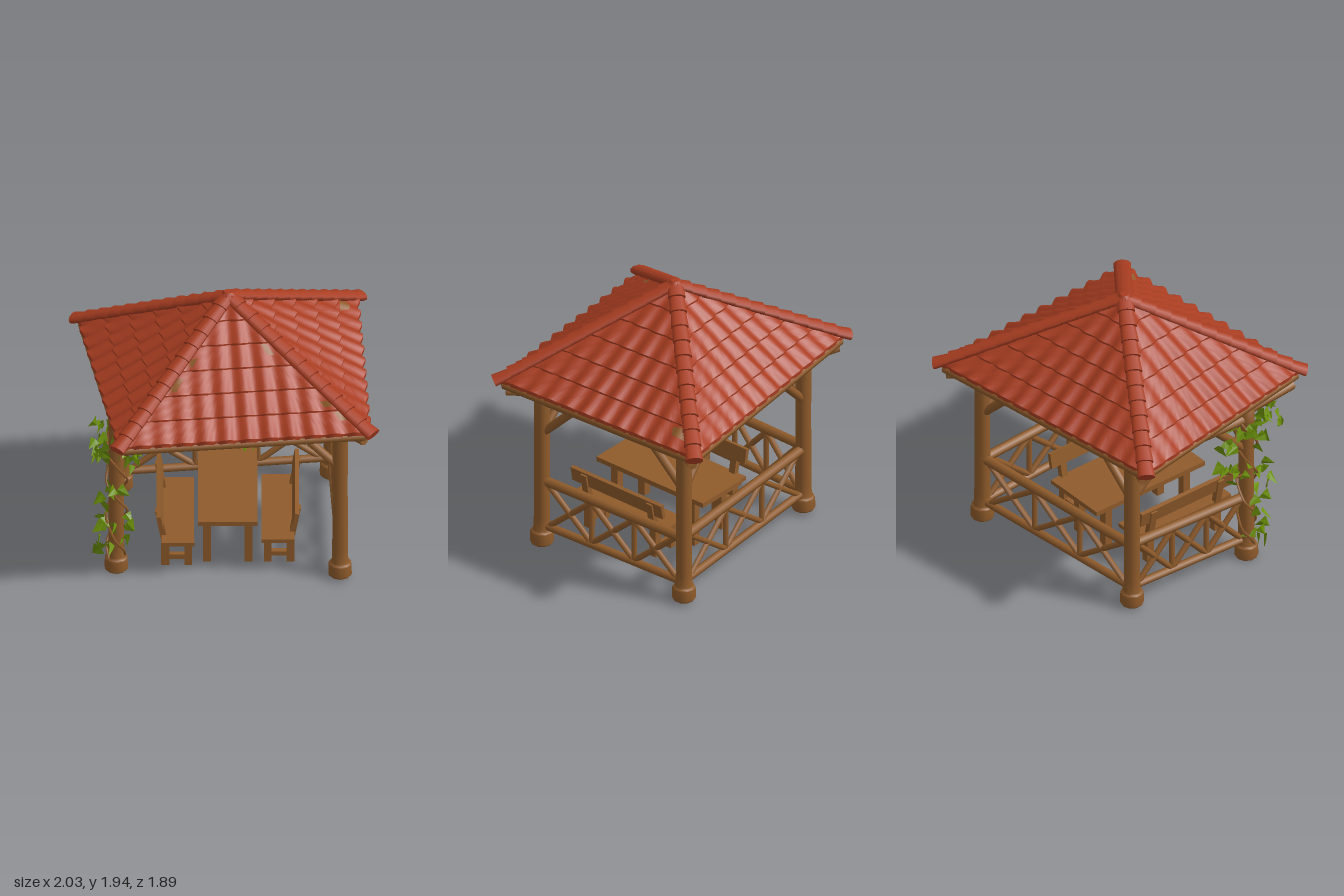
import * as THREE from 'three';

const wood = new THREE.MeshStandardMaterial({ color: 0x8f5b2b });
const tile = new THREE.MeshStandardMaterial({ color: 0xa83d21, side: THREE.DoubleSide });
const leafGreen = new THREE.MeshStandardMaterial({ color: 0x6c900a, side: THREE.DoubleSide });
wood.name = 'wood';
tile.name = 'roofTile';
leafGreen.name = 'leafGreen';

const V = (x, y, z) => new THREE.Vector3(x, y, z);
let seed = 7;
const rand = () => (seed = (seed * 16807) % 2147483647) / 2147483647;
const spread = (a) => (rand() * 2 - 1) * a;

function add(parent, name, geo, mat) {
  const m = new THREE.Mesh(geo, mat);
  m.name = name;
  parent.add(m);
  return m;
}

// Round log from a to b
function log(parent, name, a, b, r, sides = 8) {
  const d = b.clone().sub(a);
  const m = add(parent, name, new THREE.CylinderGeometry(r, r, d.length(), sides), wood);
  m.position.copy(a).addScaledVector(d, 0.5);
  m.quaternion.setFromUnitVectors(V(0, 1, 0), d.normalize());
}

// Flattened, tapered ridge tile from a up to b
function ridgeCap(parent, a, b) {
  const d = b.clone().sub(a);
  const m = add(parent, 'ridgeCap', new THREE.CylinderGeometry(0.052, 0.062, d.length(), 10), tile);
  m.position.copy(a).addScaledVector(d, 0.5);
  d.normalize();
  const side = d.clone().cross(V(0, 1, 0)).normalize();
  m.quaternion.setFromRotationMatrix(new THREE.Matrix4().makeBasis(side, d, side.clone().cross(d)));
  m.scale.z = 0.55;
}

function box(parent, name, w, h, d, x, y, z, tilt = 0) {
  const m = add(parent, name, new THREE.BoxGeometry(w, h, d), wood);
  m.position.set(x, y, z);
  m.rotation.z = tilt;
}

// Sheet from a rule f(u, v), u to the right and v upward seen from its front
function sheet(nu, nv, f) {
  const pos = [], idx = [];
  for (let j = 0; j <= nv; j++)
    for (let i = 0; i <= nu; i++) pos.push(...f(i / nu, j / nv).toArray());
  for (let j = 0; j < nv; j++)
    for (let i = 0; i < nu; i++) {
      const a = j * (nu + 1) + i, b = a + nu + 1;
      idx.push(a, a + 1, b + 1, a, b + 1, b);
    }
  const g = new THREE.BufferGeometry();
  g.setAttribute('position', new THREE.Float32BufferAttribute(pos, 3));
  g.setIndex(idx);
  g.computeVertexNormals();
  return g;
}

// Roof corners and posts: front-left, front-right, back-right, back-left by screen side
const corners = [V(-0.75, 1.295, 0.87), V(0.93, 1.295, 0.78), V(0.94, 1.295, -0.87), V(-0.94, 1.295, -0.71)];
const posts = [V(-0.75, 0, 0.38), V(0.75, 0, 0.56), V(0.76, 0, -0.65), V(-0.66, 0, -0.58)];
const apex = V(0.03, 1.9, -0.02);
const at = (p, y) => V(p.x, y, p.z);

// Bare wood patches: roof side, course, u range, v range
const patches = [[0, 3, 0.8, 0.87, 0.4, 0.8], [0, 2, 0.05, 0.11, 0.1, 0.6], [0, 3, 0.08, 0.14, 0.1, 0.4],
  [0, 1, 0.91, 0.95, 0.1, 0.35], [0, 0, 0.93, 0.97, 0.5, 0.85], [1, 0, 0.89, 0.96, 0.4, 0.75]];

function buildRoof() {
  const roof = new THREE.Group();
  roof.name = 'roof';
  const courses = 6;
  corners.forEach((A, s) => {
    const B = corners[(s + 1) % 4];
    const dir = B.clone().sub(A).normalize();
    const out = V(-dir.z, 0, dir.x);
    const slope = (u, t) => A.clone().lerp(apex, t).lerp(B.clone().lerp(apex, t), u);
    // Wavy tile surface of course c
    const tileAt = (c, u, v) => {
      const t0 = c / courses, t1 = Math.min(1, (c + 1.1) / courses);
      const p = slope(u, t0 + (t1 - t0) * v);
      const w = Math.cos((p.clone().sub(A).dot(dir) / 0.145) * Math.PI * 2);
      p.y += w * 0.011 * (1 - t0 * 0.5) + 0.011 * (1 - v) + 0.001;
      return p.addScaledVector(out, (1 - v) * (0.01 + 0.012 * w));
    };
    for (let c = 0; c < courses; c++) {
      const nu = Math.max(12, Math.round(80 * (1 - c / courses)));
      add(roof, 'tileCourse', sheet(nu, 3, (u, v) => tileAt(c, u, v)), tile);
      add(roof, 'tileCourseLip', sheet(nu, 1, (u, v) =>
        tileAt(c, u, 0).add(V(0, (v - 1) * (c ? 0.014 : 0.028), 0))), tile);
    }
    for (const [side, c, u0, u1, v0, v1] of patches)
      if (side === s)
        add(roof, 'barePatch', sheet(6, 2, (u, v) =>
          tileAt(c, u0 + (u1 - u0) * u, v0 + (v1 - v0) * v).add(V(0, 0.005, 0))), wood);
    // Boarded ceiling, facing down
    add(roof, 'ceiling', sheet(4, 4, (u, v) => slope(1 - u, 0.02 + v * 0.98).add(V(0, -0.036, 0))), wood);
    // Eave pole, purlins and rafters
    const low = (u, t, d) => slope(u, t).add(V(0, -d, 0));
    log(roof, 'eavePole', low(0, 0.025, 0.055), low(1, 0.025, 0.055), 0.032);
    for (const t of [0.4, 0.68]) log(roof, 'purlin', low(0, t, 0.06), low(1, t, 0.06), 0.024);
    for (const u of [0.2, 0.4, 0.6, 0.8]) {
      const foot = low(u, 0.06, 0.1);
      log(roof, 'rafterTail', foot, foot.clone().add(slope(0.5, 0.4)).sub(slope(0.5, 0.06)), 0.025);
    }
    log(roof, 'hipRafter', low(0, 0.03, 0.08), low(0, 0.97, 0.08), 0.036);
    // Hip of overlapping ridge caps
    const start = A.clone().lerp(apex, -0.035), n = 12;
    for (let i = 0; i < n; i++) {
      const a = start.clone().lerp(apex, i / n), b = start.clone().lerp(apex, (i + 1.15) / n);
      a.y += 0.02;
      b.y += 0.008;
      ridgeCap(roof, a, b);
    }
  });
  const cap = add(roof, 'apexCap', new THREE.CylinderGeometry(0.03, 0.085, 0.07, 10), tile);
  cap.position.set(apex.x, 1.907, apex.z);
  return roof;
}

function buildFrame() {
  const frame = new THREE.Group();
  frame.name = 'frame';
  // Posts with stepped feet
  const profile = [[0, 0], [0.074, 0], [0.082, 0.012], [0.079, 0.088], [0.074, 0.098], [0.058, 0.108], [0.055, 0.2],
    [0.053, 0.7], [0.054, 1.12], [0.058, 1.23], [0, 1.23]].map((p) => new THREE.Vector2(...p));
  posts.forEach((p, i) => {
    const m = add(frame, 'post', new THREE.LatheGeometry(profile, 10), wood);
    m.position.copy(p).setY([0, 0.015, 0.02, 0.02][i]);
    // Tie beams between the posts
    const q = posts[(i + 1) % 4];
    const d = q.clone().sub(p).normalize();
    const y = i % 2 ? 1.14 : 1.16;
    log(frame, 'tieBeam', at(p, y), at(q, y), 0.04);
    log(frame, 'cornerStrut', at(p, 1.195), at(p.clone().lerp(corners[i], 0.85), 1.21), 0.035);
    // Knee braces
    for (const [a, s] of [[p, 1], [q, -1]])
      log(frame, 'kneeBrace', at(a, 0.9).addScaledVector(d, 0.03 * s), at(a, 1.14).addScaledVector(d, 0.27 * s), 0.03);
  });
  // Railings with crossed braces; the front stays open
  for (let i = 1; i < 4; i++) {
    const p = posts[i], q = posts[(i + 1) % 4];
    const pt = (u, y) => at(p.clone().lerp(q, u), y);
    log(frame, 'topRail', pt(0, 0.505), pt(1, 0.49), 0.034);
    log(frame, 'bottomRail', pt(0, 0.155), pt(1, 0.145), 0.028);
    for (let k = 0; k < 3; k++) {
      const u0 = 0.05 + k * 0.3, u1 = u0 + 0.3;
      log(frame, 'crossBrace', pt(u0, 0.16), pt(u1, 0.48), 0.021, 6);
      log(frame, 'crossBrace', pt(u0, 0.48), pt(u1, 0.16), 0.021, 6);
      if (k) log(frame, 'baluster', pt(u0, 0.15), pt(u0, 0.49), 0.02, 6);
    }
  }
  return frame;
}

function buildTable() {
  const table = new THREE.Group();
  table.name = 'table';
  box(table, 'tableTop', 0.4, 0.035, 0.94, 0, 0.412, -0.01);
  for (const z of [-0.35, 0.33]) {
    for (const x of [-0.14, 0.14]) box(table, 'tableLeg', 0.056, 0.36, 0.056, x, 0.22, z);
    box(table, 'tableBearer', 0.34, 0.035, 0.05, 0, 0.378, z);
  }
  table.position.set(0.02, 0, 0.05);
  table.rotation.y = -0.055;
  return table;
}

function buildBench(side) {
  const bench = new THREE.Group();
  bench.name = side > 0 ? 'leftBench' : 'rightBench';
  box(bench, 'seat', 0.22, 0.03, 0.8, -0.015 * side, 0.265, 0);
  box(bench, 'backrest', 0.028, 0.11, 0.8, 0.105 * side, 0.43, 0, -0.18 * side);
  for (const z of [-0.3, 0.28]) {
    box(bench, 'frontLeg', 0.05, 0.21, 0.055, -0.085 * side, 0.145, z);
    box(bench, 'backLeg', 0.055, 0.22, 0.055, 0.07 * side, 0.15, z);
    box(bench, 'backSupport', 0.04, 0.22, 0.05, 0.1 * side, 0.36, z, -0.18 * side);
    box(bench, 'stretcher', 0.18, 0.035, 0.04, -0.01 * side, 0.1, z);
    box(bench, 'seatBearer', 0.2, 0.03, 0.05, -0.01 * side, 0.235, z);
  }
  bench.position.set(side > 0 ? 0.37 : -0.335, 0, 0.12);
  bench.rotation.y = -0.055;
  return bench;
}

function buildVine() {
  const vine = new THREE.Group();
  vine.name = 'vine';
  const stem = (pts) => add(vine, 'vineStem',
    new THREE.TubeGeometry(new THREE.CatmullRomCurve3(pts), 40, 0.009, 5), wood);
  // Stems winding up the front post and along the front beam
  for (const ph of [0, 2.6]) {
    const pts = [];
    for (let i = 0; i <= 14; i++) {
      const a = ph + i * 0.8, r = 0.06 + (i % 3) * 0.008;
      pts.push(V(posts[0].x + r * Math.cos(a), 0.1 + i * 0.077, posts[0].z + r * Math.sin(a)));
    }
    stem(pts);
  }
  stem([V(-0.75, 1.16, 0.44), V(-0.5, 1.18, 0.46), V(-0.36, 1.13, 0.48), V(-0.22, 1.08, 0.5), V(-0.1, 1.17, 0.52), V(0.18, 1.14, 0.55)]);
  stem([V(-0.75, 0.68, 0.34), V(-0.8, 0.74, 0.24), V(-0.78, 0.82, 0.16)]);
  // Folded, pointed leaf
  const leaf = new THREE.BufferGeometry();
  leaf.setAttribute('position', new THREE.Float32BufferAttribute([
    0, 0, 0, -0.5, 0.12, 0.1, -0.32, 0.45, 0.06, 0, 1, -0.12, 0.32, 0.45, 0.06, 0.5, 0.12, 0.1], 3));
  leaf.setIndex([0, 2, 1, 0, 3, 2, 0, 4, 3, 0, 5, 4]);
  const flat = leaf.toNonIndexed();
  flat.computeVertexNormals();
  // Clusters: centre, spread and number of leaves
  const clusters = [
    [V(-0.77, 0.24, 0.43), V(0.1, 0.06, 0.08), 9], [V(-0.77, 0.42, 0.43), V(0.1, 0.1, 0.09), 9],
    [V(-0.79, 0.64, 0.42), V(0.08, 0.12, 0.1), 8], [V(-0.83, 0.84, 0.2), V(0.07, 0.05, 0.08), 10],
    [V(-0.81, 1.09, 0.28), V(0.1, 0.09, 0.18), 17], [V(-0.74, 1.1, 0.55), V(0.13, 0.1, 0.09), 18],
    [V(-0.63, 0.99, 0.46), V(0.03, 0.04, 0.03), 5], [V(0.17, 1.16, 0.57), V(0.09, 0.035, 0.03), 11]];
  for (const [c, s, n] of clusters)
    for (let i = 0; i < n; i++) {
      const m = add(vine, 'leaf', flat, leafGreen);
      m.position.set(c.x + spread(s.x), c.y + spread(s.y), c.z + spread(s.z));
      m.rotation.set(spread(0.9), spread(3.1), Math.PI + spread(1.2));
      m.scale.setScalar(0.075 + rand() * 0.03);
    }
  return vine;
}

export function createModel() {
  const model = new THREE.Group();
  model.name = 'gazebo';
  model.add(buildRoof(), buildFrame(), buildTable(), buildBench(1), buildBench(-1), buildVine());
  return model;
}
